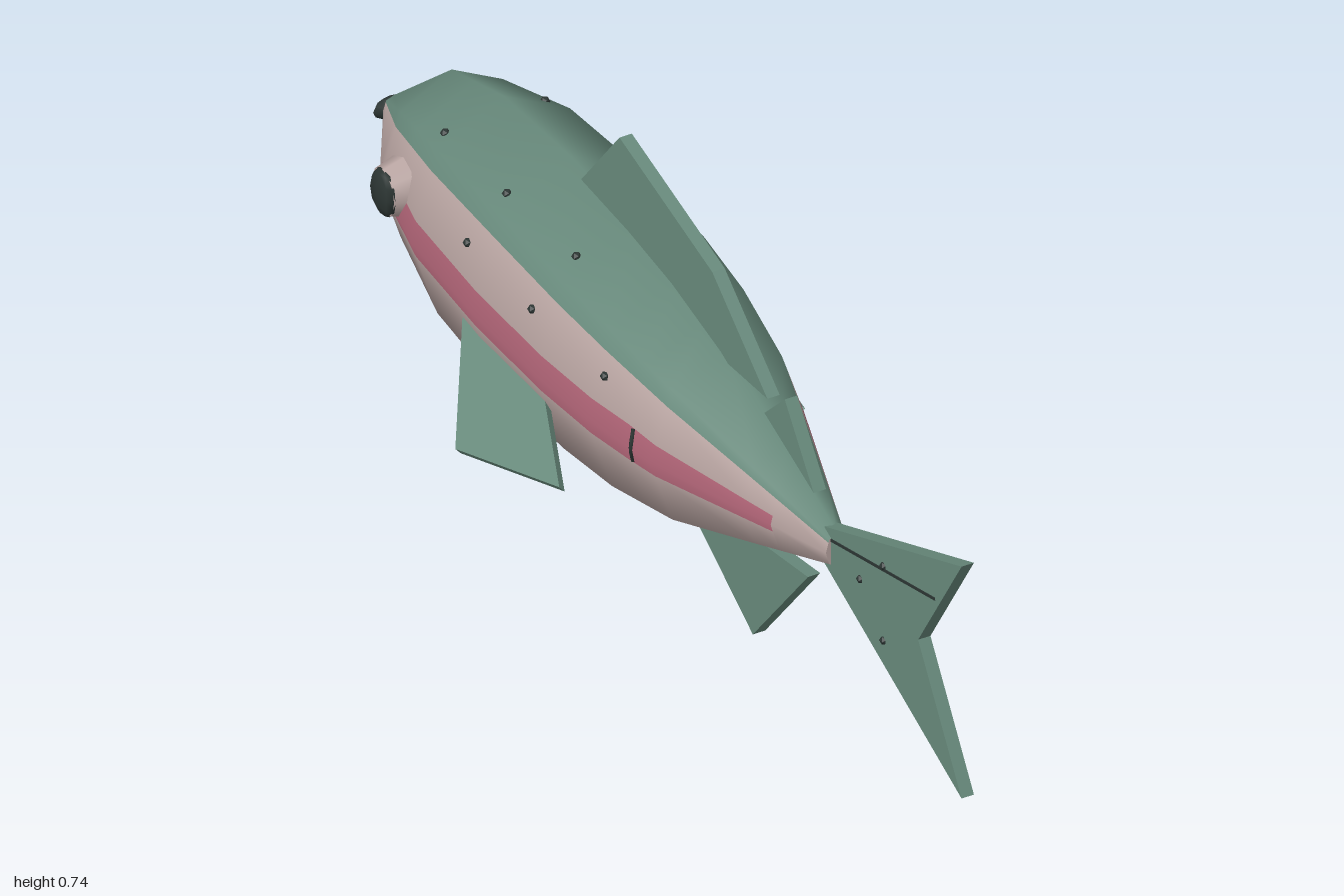
import * as THREE from 'three';

const mat = (name, color) => Object.assign(new THREE.MeshStandardMaterial({ color }), { name });

// Linear lookup in rows of [z, a, b, ...] sorted by z
function lookup(rows, z, k) {
  if (z <= rows[0][0]) return rows[0][k];
  for (let i = 1; i < rows.length; i++) {
    const [p, q] = [rows[i - 1], rows[i]];
    if (z <= q[0]) return p[k] + (q[k] - p[k]) * (z - p[0]) / (q[0] - p[0]);
  }
  return rows[rows.length - 1][k];
}

// Body stations: z, half width, half height, centre height
const BODY = [
  [-0.98, 0.02, 0.02, 0.325], [-0.78, 0.14, 0.182, 0.337], [-0.6, 0.182, 0.236, 0.337],
  [-0.37, 0.195, 0.252, 0.337], [-0.15, 0.193, 0.241, 0.337], [0.0, 0.18, 0.225, 0.336],
  [0.17, 0.15, 0.187, 0.336], [0.37, 0.083, 0.108, 0.336], [0.55, 0.022, 0.035, 0.336],
];
// Half height of the side stripe along z
const STRIPE = [
  [-0.82, 0], [-0.81, 0.014], [-0.79, 0.025], [-0.76, 0.032], [-0.7, 0.036],
  [0.1, 0.036], [0.43, 0.016], [0.431, 0],
];
const K = Math.SQRT1_2;
// Half width of the unit octagon at height f
const octX = f => Math.abs(f) < K ? 1 - Math.abs(f) * (1 - K) / K : (1 - Math.abs(f)) * K / (1 - K);
const sideX = (z, y) =>
  lookup(BODY, z, 1) * octX((y - lookup(BODY, z, 3)) / lookup(BODY, z, 2));

// Eight-sided loft, with extra columns along the colour borders
function bodyGeometry() {
  const zs = [...BODY, ...STRIPE].map(r => r[0]).sort((a, b) => a - b);
  const columns = [0, 0, 1, 2, 2, 1, 1, 1, 1, 2, 2, 1, 0, 0];
  const pos = [], nor = [], faces = [[], [], []], n = columns.length + 1;
  zs.forEach((z, i) => {
    const [rx, ry, cy] = [1, 2, 3].map(k => lookup(BODY, z, k));
    const slope = k => (lookup(BODY, z + 0.08, k) - lookup(BODY, z - 0.08, k)) /
      (Math.min(z + 0.08, 0.55) - Math.max(z - 0.08, -0.98));
    const [dx, dy] = [slope(1), slope(2)];
    const s = (z < -0.82 || z > 0.431 ? 0 : lookup(STRIPE, z, 1)) / ry;
    const half = [1, K, 0.55, s, 0, -s, -K, -1].map(f => [octX(f), f]);
    const ring = [...half, ...half.slice(0, -1).reverse().map(([x, y]) => [-x, y])];
    ring.forEach(([x, y], j) => {
      pos.push(x * rx, cy + y * ry, z);
      const v = new THREE.Vector3(x / rx, y / ry, -(x * x * dx / rx + y * y * dy / ry)).normalize();
      nor.push(v.x, v.y, v.z);
      if (i < zs.length - 1 && j < n - 1) {
        const a = i * n + j, c = a + n;
        faces[columns[j]].push(a, c, a + 1, a + 1, c, c + 1);
      }
    });
  });
  const g = new THREE.BufferGeometry();
  g.setAttribute('position', new THREE.Float32BufferAttribute(pos, 3));
  g.setAttribute('normal', new THREE.Float32BufferAttribute(nor, 3));
  g.setIndex(faces.flat());
  let start = 0;
  faces.forEach((f, m) => { g.addGroup(start, f.length, m); start += f.length; });
  return g;
}

function plate(points, depth) {
  const shape = new THREE.Shape(points.map(p => new THREE.Vector2(...p)));
  return new THREE.ExtrudeGeometry(shape, { depth, bevelEnabled: false }).translate(0, 0, -depth / 2);
}

export function createModel() {
  const green = mat('back green', 0x688a7c);
  const flesh = mat('pale flank', 0xb9a5a2);
  const pink = mat('stripe pink', 0xb5677a);
  const dark = mat('dark', 0x2c3533);
  const model = new THREE.Group();
  const add = (name, geometry, material, x = 0, y = 0, z = 0) => {
    const m = new THREE.Mesh(geometry, material);
    m.name = name;
    m.position.set(x, y, z);
    model.add(m);
    return m;
  };

  add('body', bodyGeometry(), [green, flesh, pink]);
  // Cap closing the tail end
  add('tailStump', new THREE.CircleGeometry(1, 8).scale(0.022, 0.035, 1), flesh, 0, 0.336, 0.55);

  // Upright fins, outlines as [z, y]
  const fins = {
    tailFin: [[0.5, 0.31], [1, 0.1], [0.85, 0.336], [1, 0.577], [0.5, 0.362]],
    dorsalFin: [[0.33, 0.517], [0.14, 0.663], [-0.18, 0.746], [-0.32, 0.57], [0.1, 0.5]],
    adiposeFin: [[0.49, 0.42], [0.39, 0.552], [0.32, 0.482]],
    analFin: [[0.47, 0.235], [0.28, 0.002], [0.05, 0.14], [0.2, 0.19]],
  };
  for (const [name, pts] of Object.entries(fins))
    add(name, plate(pts, 0.024).rotateY(-Math.PI / 2), green);

  // Mouth
  add('mouth', new THREE.SphereGeometry(1, 8, 6).scale(0.037, 0.022, 0.015), dark, 0, 0.318, -0.985);

  const spot = new THREE.IcosahedronGeometry(0.009, 0);
  const spots = [[0.015, 0.42], [-0.18, 0.53], [-0.21, 0.427], [-0.4, 0.53], [-0.435, 0.427], [-0.63, 0.512]];
  const tailSpots = [[0.73, 0.415], [0.65, 0.34], [0.73, 0.262]];

  for (const s of [1, -1]) {
    const side = s > 0 ? 'left' : 'right';
    // Pectoral fin, sloping outward and down
    const outline = [[-0.02, -0.43], [0, -0.435], [0.165, -0.235], [0.085, 0.015], [0, -0.15], [-0.02, -0.15]];
    const fin = plate(outline.map(([u, z]) => [s * u, z]), 0.016)
      .rotateX(Math.PI / 2).rotateZ(-s * 0.7);
    add(side + 'PectoralFin', fin, green, s * 0.168, 0.27, 0);

    // Eye and pupil
    const eye = new THREE.CylinderGeometry(0.042, 0.053, 0.04, 8).scale(0.95, 1, 1.1);
    const pupil = new THREE.SphereGeometry(1, 8, 6).scale(0.016, 0.046, 0.04);
    add(side + 'Eye', eye.rotateY(Math.PI / 2).rotateZ(-s * Math.PI / 2), flesh, s * 0.158, 0.375, -0.7);
    add(side + 'Pupil', pupil, dark, s * 0.176, 0.375, -0.7);

    // Spots and a short curved mark across the stripe
    for (const [z, y] of spots) add(side + 'Spot', spot, dark, s * sideX(z, y), y, z);
    for (const [z, y] of tailSpots) add(side + 'TailSpot', spot, dark, s * 0.01, y, z);
    const arc = new THREE.CatmullRomCurve3([[0.305, 0.112], [0.337, 0.12], [0.371, 0.112]]
      .map(([y, z]) => new THREE.Vector3(s * sideX(z, y), y, z)));
    add(side + 'StripeMark', new THREE.TubeGeometry(arc, 6, 0.004, 5), dark);

    // Ray line on the tail
    const ray = add(side + 'TailRay', new THREE.BoxGeometry(0.003, 0.005, 0.37), dark, s * 0.0125, 0.408, 0.73);
    ray.rotation.x = -0.26;
  }
  return model;
}
